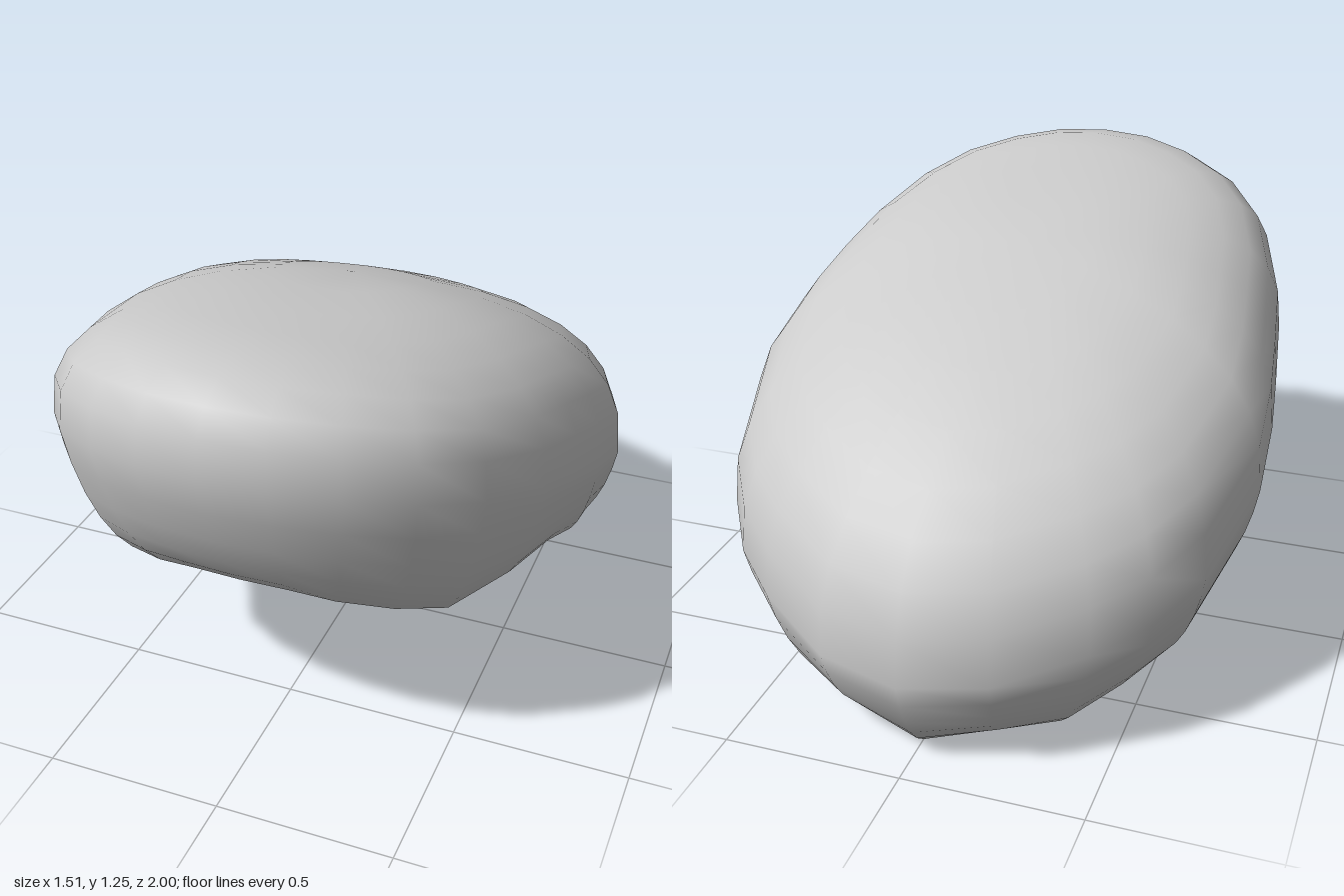
import * as THREE from 'three';

// Half outline, front centre to back centre: [equator x, z, rim x, y, z]
const HALF = [
  [0, 1, 0, 0.61, 0.8],
  [0.17, 0.98, 0.13, 0.605, 0.79],
  [0.33, 0.915, 0.25, 0.58, 0.76],
  [0.48, 0.81, 0.38, 0.535, 0.68],
  [0.6, 0.65, 0.49, 0.49, 0.57],
  [0.685, 0.4, 0.6, 0.505, 0.38],
  [0.72, 0.18, 0.65, 0.47, 0.15],
  [0.745, 0, 0.675, 0.4, -0.03],
  [0.757, -0.22, 0.65, 0.31, -0.25],
  [0.68, -0.53, 0.58, 0.2, -0.5],
  [0.58, -0.69, 0.46, 0.115, -0.6],
  [0.45, -0.81, 0.34, 0.035, -0.68],
  [0.23, -0.95, 0.2, 0.045, -0.78],
  [0, -1, 0, 0, -0.83],
];
const DOME_RINGS = 8;
const SIDE_RINGS = 5;
const POWER = 2.5; // roundness of the dome section

// The widest ring lies on a plane that slopes down to the back
const slope = (z) => 0.655 + 0.375 * z;
const domeHeight = (z) => 0.47 - 0.06 * THREE.MathUtils.smoothstep(z, 0, 0.6);

// Point on the dome: t = 0 at the crown, 1 at the widest ring
function domePoint([ex, ez], t) {
  const a = t * Math.PI / 2;
  const r = Math.pow(Math.sin(a), 2 / POWER);
  const h = t === 1 ? 0 : Math.pow(Math.cos(a), 2 / POWER);
  return [ex * r, slope(ez * r) + domeHeight(ez * r) * h, ez * r];
}

// Point on the tucked-in side: t = 0 at the widest ring, 1 at the rim
function sidePoint([ex, ez, rx, ry, rz], t) {
  const a = t * Math.PI / 2;
  const inward = (t + 1 - Math.cos(a)) / 2;
  const down = (t + Math.sin(a)) / 2;
  const { lerp } = THREE.MathUtils;
  return [lerp(ex, rx, inward), lerp(slope(ez), ry, down), lerp(ez, rz, inward)];
}

function shellGeometry() {
  // Mirror the half outline into a full loop
  const mirrored = HALF.slice(1, -1).reverse()
    .map(([ex, ez, rx, ry, rz]) => [-ex, ez, -rx, ry, rz]);
  const loop = [...HALF, ...mirrored];
  const n = loop.length;

  const positions = [0, slope(0) + domeHeight(0), 0];
  for (let i = 1; i <= DOME_RINGS; i++)
    for (const p of loop) positions.push(...domePoint(p, i / DOME_RINGS));
  for (let i = 1; i <= SIDE_RINGS; i++)
    for (const p of loop) positions.push(...sidePoint(p, i / SIDE_RINGS));

  // Fan around the crown, then bands of quads down to the rim
  const index = [];
  for (let k = 0; k < n; k++) {
    const next = (k + 1) % n;
    index.push(0, 1 + k, 1 + next);
    for (let i = 0; i < DOME_RINGS + SIDE_RINGS - 1; i++) {
      const upper = 1 + i * n, lower = upper + n;
      index.push(upper + k, lower + k, lower + next);
      index.push(upper + k, lower + next, upper + next);
    }
  }

  const geometry = new THREE.BufferGeometry();
  geometry.setAttribute('position', new THREE.Float32BufferAttribute(positions, 3));
  geometry.setIndex(index);
  geometry.computeVertexNormals();
  return geometry;
}

export function createModel() {
  const group = new THREE.Group();
  group.name = 'cap';
  // Thin open shell, seen from inside and outside
  const material = new THREE.MeshStandardMaterial({ color: 0xcccccc, side: THREE.DoubleSide });
  const shell = new THREE.Mesh(shellGeometry(), material);
  shell.name = 'shell';
  group.add(shell);
  return group;
}
